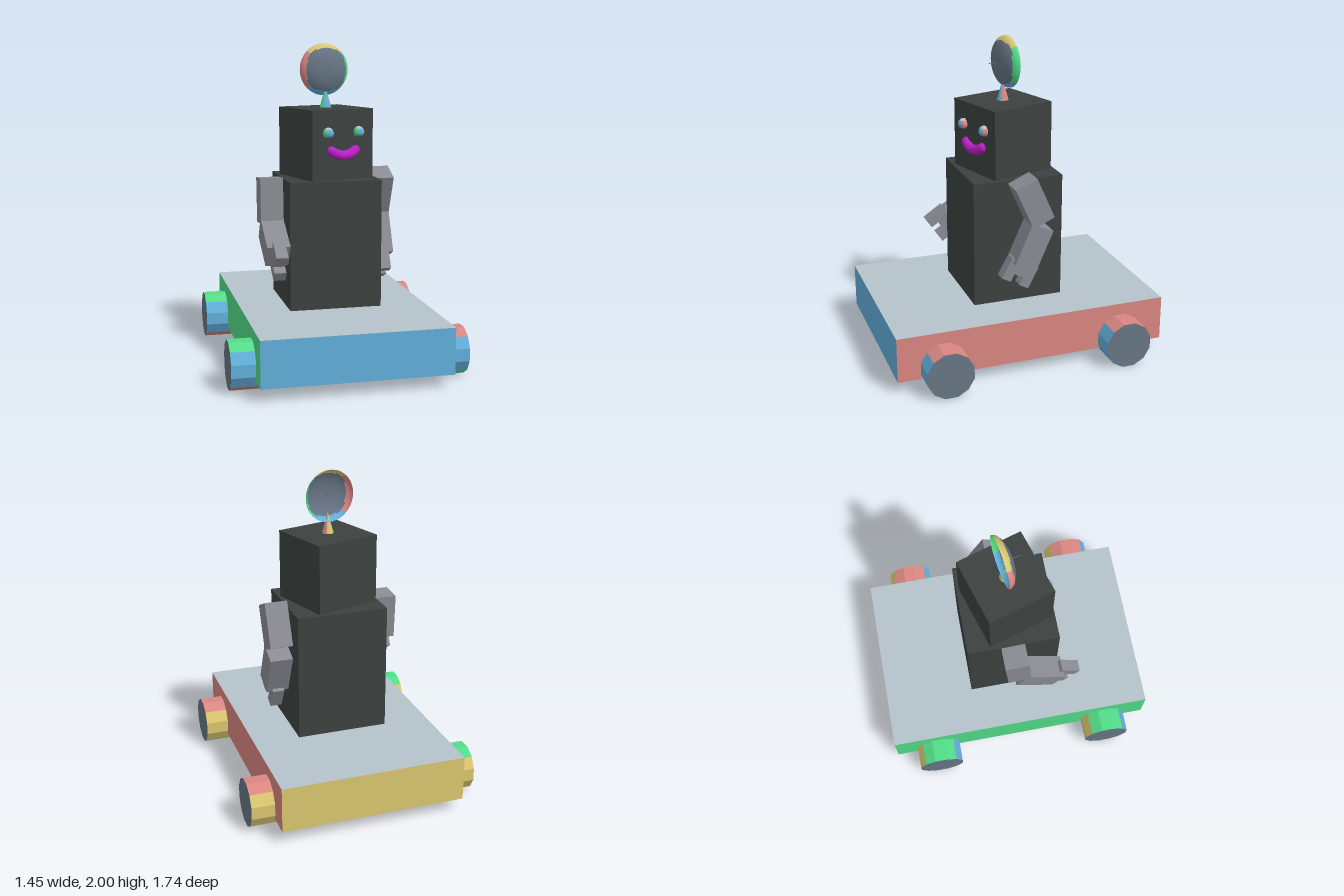
import * as THREE from 'three';

const mat = (name, color, side = THREE.FrontSide) => {
  const m = new THREE.MeshStandardMaterial({ color, side });
  m.name = name;
  return m;
};
const rad = THREE.MathUtils.degToRad;

export function createModel() {
  const charcoal = mat('charcoal', 0x3c4241);
  const armGrey = mat('arm grey', 0x8a8b93);
  const magenta = mat('magenta', 0xb81fc6);
  const slate = mat('slate', 0x677584, THREE.DoubleSide);
  // one colour per direction: +x, -x, +y, -y, +z, -z
  const sides = [
    mat('coral', 0xda8682, THREE.DoubleSide),
    mat('green', 0x52dc88, THREE.DoubleSide),
    mat('pale blue grey', 0xb5c3ca, THREE.DoubleSide),
    slate,
    mat('sky blue', 0x62b0dc, THREE.DoubleSide),
    mat('straw yellow', 0xd9c670, THREE.DoubleSide),
  ];

  const add = (parent, name, geo, material, x = 0, y = 0, z = 0) => {
    const mesh = new THREE.Mesh(geo, material);
    mesh.name = name;
    mesh.position.set(x, y, z);
    parent.add(mesh);
    return mesh;
  };
  const group = (parent, name, x = 0, y = 0, z = 0) => {
    const g = new THREE.Group();
    g.name = name;
    g.position.set(x, y, z);
    parent.add(g);
    return g;
  };

  // sorts triangles into six groups by the main axis of their face normal
  const paintBySide = (source, flat = false) => {
    const geo = source.toNonIndexed();
    if (flat) geo.computeVertexNormals();
    const pos = geo.attributes.position;
    const bins = [[], [], [], [], [], []];
    const tri = new THREE.Triangle();
    const n = new THREE.Vector3();
    for (let i = 0; i < pos.count; i += 3) {
      tri.setFromAttributeAndIndices(pos, i, i + 1, i + 2);
      tri.getNormal(n);
      const a = n.toArray();
      const size = a.map(Math.abs);
      const axis = size.indexOf(Math.max(...size));
      bins[axis * 2 + (a[axis] < 0 ? 1 : 0)].push(i, i + 1, i + 2);
    }
    geo.clearGroups();
    geo.setIndex(bins.flat());
    let start = 0;
    bins.forEach((bin, k) => {
      if (bin.length) geo.addGroup(start, bin.length, k);
      start += bin.length;
    });
    return geo;
  };

  const model = new THREE.Group();
  model.name = 'robot';

  // wheeled platform
  add(model, 'platform', new THREE.BoxGeometry(1.16, 0.285, 1.74), sides, 0, 0.2225, 0);
  const wheelGeo = paintBySide(
    new THREE.CylinderGeometry(0.15, 0.15, 0.22, 12, 1, false, Math.PI / 12), true);
  for (const s of [1, -1]) {
    for (const z of [0.58, -0.58]) {
      const wheel = add(model, 'wheel', wheelGeo, sides, s * 0.615, 0.145, z);
      wheel.rotation.z = s * Math.PI / 2;
    }
  }

  // body
  add(model, 'body', new THREE.BoxGeometry(0.58, 0.8, 0.58), charcoal, 0, 0.765, 0);

  // head, turned a little to its left
  const head = group(model, 'head');
  head.rotation.y = rad(17);
  add(head, 'skull', new THREE.BoxGeometry(0.434, 0.435, 0.434), charcoal, 0, 1.3825, 0);
  const eyeGeo = paintBySide(new THREE.SphereGeometry(0.035, 20, 14));
  for (const s of [1, -1]) add(head, 'eye', eyeGeo, sides, s * 0.11, 1.458, 0.222);

  // smiling mouth: bent tube with rounded ends
  const smile = new THREE.QuadraticBezierCurve3(
    new THREE.Vector3(-0.086, 1.346, 0.217),
    new THREE.Vector3(0, 1.288, 0.24),
    new THREE.Vector3(0.086, 1.346, 0.217));
  add(head, 'mouth', new THREE.TubeGeometry(smile, 24, 0.031, 14), magenta);
  for (const p of [smile.v0, smile.v2]) {
    add(head, 'mouthCorner', new THREE.SphereGeometry(0.031, 16, 12), magenta, p.x, p.y, p.z);
  }

  // dish aerial on a cone
  add(head, 'dishStand', paintBySide(new THREE.ConeGeometry(0.037, 0.13, 24)), sides, 0, 1.665, 0);
  const dish = group(model, 'dishAerial', -0.004, 1.838, -0.032);
  dish.rotation.set(Math.PI / 2, Math.PI + rad(10), 0, 'YXZ');
  const bowlGeo = new THREE.SphereGeometry(0.163, 40, 16, 0, Math.PI * 2, Math.PI / 2, Math.PI / 2);
  bowlGeo.scale(1, 0.7, 1);
  const bowl = add(dish, 'dishBowl', paintBySide(bowlGeo), sides);
  bowl.scale.y = 0.65;
  add(dish, 'dishNeedle', new THREE.CylinderGeometry(0.002, 0.002, 0.13, 8), slate, 0, -0.067, 0);

  // arms: each segment is [y, z, forward tilt in degrees]
  const buildArm = (name, x, upper, fore, palm) => {
    const arm = group(model, name, x);
    const segment = (label, [y, z, tilt]) => {
      const g = group(arm, label, 0, y, z);
      g.rotation.x = -rad(tilt);
      return g;
    };
    add(segment('upperArm', upper), 'upperArmBox', new THREE.BoxGeometry(0.145, 0.285, 0.15), armGrey);
    add(segment('forearm', fore), 'forearmBox', new THREE.BoxGeometry(0.145, 0.28, 0.15), armGrey);
    const hand = segment('hand', palm);
    add(hand, 'palm', new THREE.BoxGeometry(0.075, 0.092, 0.195), armGrey, 0, -0.046, 0);
    for (const s of [1, -1]) {
      add(hand, 'finger', new THREE.BoxGeometry(0.075, 0.055, 0.065), armGrey, 0, -0.1185, s * 0.065);
    }
  };
  buildArm('leftArm', 0.3625, [1.047, -0.057, -24], [0.76, -0.052, 24], [0.655, -0.008, 28]);
  buildArm('rightArm', -0.3625, [1.02, 0.005, 4], [0.78, 0.15, 60], [0.731, 0.247, 56]);

  return model;
}
